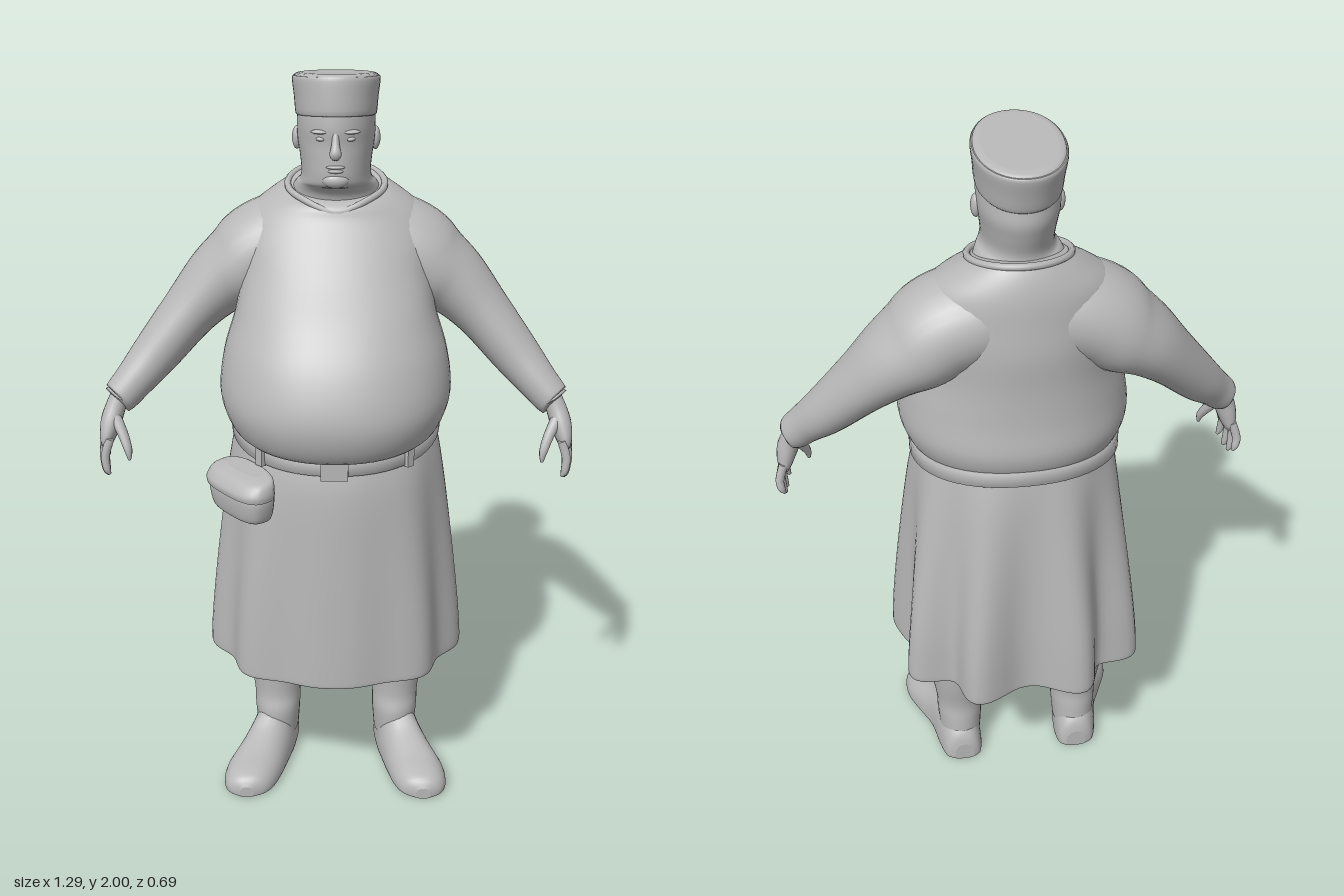
import * as THREE from 'three';

const V = (x, y, z) => new THREE.Vector3(x, y, z);
const cloth = new THREE.MeshStandardMaterial({ color: 0xb8b8b8, side: THREE.DoubleSide });
cloth.name = 'plain grey';

// Smoothly resample rows of section parameters
function smoothRows(rows, steps) {
  const out = [], at = i => rows[Math.max(0, Math.min(rows.length - 1, i))];
  for (let i = 0; i < rows.length - 1; i++) {
    for (let k = 0; k < steps; k++) {
      const t = k / steps;
      out.push(rows[i].map((b, c) => {
        const a = at(i - 1)[c], d = at(i + 1)[c], e = at(i + 2)[c];
        return b + 0.5 * t * (d - a + t * (2 * a - 5 * b + 4 * d - e + t * (3 * (b - d) + e - a)));
      }));
    }
  }
  out.push(rows[rows.length - 1]);
  return out;
}

// Skin a list of closed rings, with optional flat caps
function skin(rings, caps = true) {
  const n = rings[0].length, pts = rings.flat(), idx = [];
  for (let k = 0; k < rings.length - 1; k++) {
    for (let i = 0; i < n; i++) {
      const j = (i + 1) % n, a = k * n + i, b = k * n + j;
      idx.push(a, b, b + n, a, b + n, a + n);
    }
  }
  if (caps) {
    [rings[0], rings[rings.length - 1]].forEach((ring, end) => {
      const base = pts.length, mid = V(0, 0, 0);
      ring.forEach(p => mid.addScaledVector(p, 1 / n));
      pts.push(...ring.map(p => p.clone()), mid);
      for (let i = 0; i < n; i++) {
        const a = base + i, b = base + (i + 1) % n;
        if (end) idx.push(a, b, base + n); else idx.push(b, a, base + n);
      }
    });
  }
  const g = new THREE.BufferGeometry().setFromPoints(pts);
  g.setIndex(idx);
  g.computeVertexNormals();
  return g;
}

const pow = (c, n) => Math.sign(c) * Math.abs(c) ** (2 / n);

// Upright body: rows are [y, halfWidth, zFront, zBack, backwardRise, squareness, foldDepth]
// Folds are deepest at the back
function upright(rows, { steps = 5, sides = 56, caps = true, cx = 0 } = {}) {
  return skin(smoothRows(rows, steps).map(([y, w, zf, zb, s = 0, n = 2, fold = 0]) => {
    const zc = (zf + zb) / 2, d = (zf - zb) / 2;
    return Array.from({ length: sides }, (_, i) => {
      const a = i / sides * Math.PI * 2, sin = Math.sin(a);
      const f = 1 - fold * (0.6 + 0.4 * sin) * Math.cos(9 * (a - Math.PI / 2));
      const z = -d * pow(sin, n) * f;
      return V(cx + w * pow(Math.cos(a), n) * f, y - s * z, zc + z);
    });
  }), caps);
}

// Limb along a path: rows are [x, y, z, radiusAlongZ, radiusAcross]
function limb(rows, side = 1, steps = 4, sides = 20) {
  const r = smoothRows(rows, steps), P = r.map(q => V(q[0] * side, q[1], q[2]));
  return skin(r.map((q, k) => {
    const d = P[Math.min(k + 1, P.length - 1)].clone().sub(P[Math.max(k - 1, 0)]).normalize();
    const u = V(0, 0, 1).addScaledVector(d, -d.z).normalize(), v = d.clone().cross(u);
    return Array.from({ length: sides }, (_, i) => {
      const a = i / sides * Math.PI * 2;
      return P[k].clone().addScaledVector(u, q[3] * Math.cos(a)).addScaledVector(v, q[4] * Math.sin(a));
    });
  }));
}

// Shoe: rows are [z, x, halfWidth, height], flat underneath
function shoe(rows, side) {
  return skin(smoothRows(rows, 4).map(([z, x, w, h]) => Array.from({ length: 28 }, (_, i) => {
    const a = i / 28 * Math.PI * 2, s = Math.sin(a);
    return V(side * x + w * pow(Math.cos(a), 2.4), s < 0 ? 0.015 + 0.015 * pow(s, 5) : 0.015 + (h - 0.015) * s, z);
  })));
}

export function createModel() {
  const model = new THREE.Group();
  const add = (name, geo, pos = [0, 0, 0], parent = model) => {
    const m = new THREE.Mesh(geo, cloth);
    m.name = name;
    m.position.set(...pos);
    parent.add(m);
    return m;
  };
  const blob = (name, pos, scale) => add(name, new THREE.SphereGeometry(1, 20, 14), pos).scale.set(...scale);

  // Round-bellied tunic, tucked in at the slanted waist
  add('tunic', upright([
    [1.11, 0.25, 0.25, -0.24, 0.16, 2.2], [1.125, 0.28, 0.312, -0.262, 0.14, 2.2],
    [1.2, 0.304, 0.344, -0.275, 0.06, 2.2], [1.3, 0.292, 0.31, -0.266, 0, 2.2],
    [1.4, 0.262, 0.245, -0.262, 0, 2.2], [1.5, 0.25, 0.155, -0.265, 0, 2.1],
    [1.58, 0.25, 0.09, -0.258, 0, 2], [1.64, 0.225, 0.05, -0.25, 0.04, 2],
    [1.68, 0.175, 0.036, -0.236, 0.12, 2], [1.705, 0.125, 0.02, -0.215, 0.24, 2],
    [1.708, 0.1, 0, -0.2, 0.25, 2]]));

  // Neckline with a small dip at the front
  const neck = Array.from({ length: 40 }, (_, i) => {
    const a = i / 40 * Math.PI * 2, c = Math.cos(a);
    return V(0.126 * Math.sin(a), 1.705 - 0.027 * c - 0.022 * Math.max(0, c) ** 8, -0.093 + 0.124 * c);
  });
  add('collar', new THREE.TubeGeometry(new THREE.CatmullRomCurve3(neck, true), 80, 0.009, 8, true));

  // Pleated skirt, open at the bottom
  add('skirt', upright([
    [0.435, 0.322, 0.276, -0.312, 0.03, 2.4, 0.1], [0.418, 0.334, 0.288, -0.324, 0.03, 2.4, 0.11],
    [0.46, 0.336, 0.289, -0.325, 0.03, 2.4, 0.11], [0.6, 0.326, 0.286, -0.319, 0.03, 2.4, 0.095],
    [0.8, 0.307, 0.281, -0.301, 0.05, 2.3, 0.065], [1.0, 0.284, 0.273, -0.276, 0.12, 2.2, 0.025],
    [1.11, 0.262, 0.252, -0.254, 0.17, 2.2, 0]], { caps: false, sides: 120 }));

  // Belt with buckle and loops
  add('belt', upright([
    [1.078, 0.262, 0.255, -0.255, 0.18, 2.2], [1.08, 0.28, 0.272, -0.272, 0.18, 2.2],
    [1.12, 0.28, 0.272, -0.272, 0.18, 2.2], [1.122, 0.262, 0.255, -0.255, 0.18, 2.2]],
  { steps: 1, caps: false }));
  add('buckle', new THREE.BoxGeometry(0.07, 0.058, 0.02), [0, 1.053, 0.276]);
  for (const s of [-1, 1]) {
    add('beltLoop', new THREE.BoxGeometry(0.022, 0.056, 0.02), [s * 0.19, 1.065, 0.212]).rotation.y = s * 0.75;
  }

  // Pouch hanging from the belt
  const pouch = new THREE.Group();
  pouch.name = 'pouch';
  pouch.position.set(-0.242, 0, 0.222);
  pouch.rotation.y = -0.88;
  model.add(pouch);
  add('pouchBody', upright([
    [0.906, 0.08, 0.03, -0.03, 0, 2.8], [0.916, 0.1, 0.045, -0.045, 0, 2.8],
    [0.965, 0.112, 0.052, -0.05, 0, 2.8], [1.0, 0.108, 0.045, -0.05, 0, 2.8]], { sides: 32 }), [0, 0, 0], pouch);
  add('pouchLid', upright([
    [0.975, 0.115, 0.058, -0.05, 0, 2.8], [0.995, 0.116, 0.058, -0.05, 0.05, 2.8],
    [1.02, 0.104, 0.04, -0.05, 0.1, 2.8], [1.03, 0.07, 0.01, -0.045, 0.1, 2.8]], { sides: 32 }), [0, 0, 0], pouch);

  // Neck and head in one form
  add('head', upright([
    [1.64, 0.125, 0.0, -0.2], [1.69, 0.116, 0.008, -0.2], [1.715, 0.104, 0.03, -0.192],
    [1.728, 0.093, 0.056, -0.188], [1.75, 0.089, 0.064, -0.19], [1.79, 0.093, 0.064, -0.204],
    [1.83, 0.099, 0.062, -0.215], [1.87, 0.1, 0.065, -0.212], [1.92, 0.098, 0.06, -0.205]]));
  add('nose', limb([[0, 1.862, 0.056, 0.008, 0.009], [0, 1.835, 0.064, 0.012, 0.01],
    [0, 1.812, 0.074, 0.013, 0.015], [0, 1.802, 0.068, 0.007, 0.01]]));
  blob('upperLip', [0, 1.778, 0.061], [0.024, 0.005, 0.007]);
  blob('lowerLip', [0, 1.768, 0.06], [0.02, 0.006, 0.008]);
  blob('chin', [0, 1.743, 0.05], [0.034, 0.02, 0.019]);
  for (const s of [-1, 1]) {
    blob('eye', [s * 0.036, 1.846, 0.048], [0.013, 0.006, 0.011]);
    blob('brow', [s * 0.036, 1.864, 0.05], [0.026, 0.006, 0.013]);
    blob('ear', [s * 0.1, 1.826, -0.075], [0.013, 0.03, 0.018]);
  }

  // Round cap, tilted down towards the back
  add('capBand', upright([
    [1.888, 0.095, 0.058, -0.21, -0.13, 2.1], [1.888, 0.103, 0.068, -0.218, -0.13, 2.1],
    [1.93, 0.107, 0.066, -0.23, -0.12, 2.1], [1.97, 0.112, 0.062, -0.242, -0.11, 2.1],
    [1.98, 0.109, 0.058, -0.24, -0.11, 2.1]], { steps: 3 }));
  add('capTop', upright([
    [1.97, 0.108, 0.057, -0.238, -0.11, 2.1], [1.983, 0.105, 0.054, -0.235, -0.11, 2.1],
    [1.987, 0.09, 0.035, -0.215, -0.11, 2.1]], { steps: 3 }));

  for (const s of [-1, 1]) {
    // Sleeve running from the yoke over the shoulder to the cuff
    add('sleeve', limb([
      [0.0, 1.575, -0.11, 0.12, 0.11], [0.1, 1.56, -0.11, 0.138, 0.125], [0.19, 1.53, -0.108, 0.143, 0.125],
      [0.25, 1.485, -0.105, 0.14, 0.116], [0.315, 1.44, -0.098, 0.122, 0.096], [0.39, 1.365, -0.074, 0.098, 0.076],
      [0.48, 1.26, -0.03, 0.073, 0.064], [0.54, 1.193, 0.008, 0.056, 0.053], [0.578, 1.152, 0.028, 0.048, 0.047],
      [0.574, 1.158, 0.026, 0.038, 0.036]], s, 5, 32));

    // Hand with four fingers and a thumb
    add('palm', limb([
      [0.565, 1.18, 0.02, 0.028, 0.026], [0.588, 1.13, 0.035, 0.03, 0.027], [0.602, 1.09, 0.045, 0.04, 0.028],
      [0.612, 1.05, 0.052, 0.046, 0.022], [0.614, 1.028, 0.053, 0.038, 0.014]], s));
    for (let f = 0; f < 4; f++) {
      const z = 0.09 - f * 0.025, tip = 0.1 - f * 0.033, low = [0.957, 0.942, 0.947, 0.97][f];
      const curl = [0.012, 0.004, 0, -0.004][f];
      add('finger', limb([
        [0.613 - curl, 1.055, z, 0.012, 0.012], [0.627 - curl, 1.01, (z + tip) / 2, 0.012, 0.012],
        [0.624 - curl, low + 0.015, tip, 0.01, 0.01], [0.617 - curl, low, tip, 0.004, 0.004]], s, 3, 10));
    }
    add('thumb', limb([
      [0.592, 1.11, 0.055, 0.017, 0.017], [0.568, 1.07, 0.082, 0.015, 0.014],
      [0.552, 1.03, 0.103, 0.012, 0.011], [0.549, 1.002, 0.108, 0.004, 0.004]], s, 3, 10));

    // Leg and shoe, toes turned out
    add('leg', upright([
      [0.06, 0.06, 0.015, -0.14], [0.14, 0.066, 0.022, -0.135], [0.2, 0.068, 0.01, -0.13],
      [0.3, 0.082, 0.015, -0.145], [0.42, 0.096, 0.025, -0.152], [0.56, 0.1, 0.04, -0.14],
      [0.85, 0.11, 0.07, -0.14]], { sides: 28, cx: s * 0.174 }));
    add('shoe', shoe([
      [-0.154, 0.172, 0.03, 0.06], [-0.14, 0.174, 0.052, 0.1], [-0.09, 0.178, 0.064, 0.14],
      [-0.01, 0.19, 0.067, 0.145], [0.05, 0.21, 0.074, 0.11], [0.12, 0.234, 0.081, 0.083],
      [0.18, 0.246, 0.073, 0.068], [0.215, 0.25, 0.053, 0.055], [0.23, 0.252, 0.02, 0.034]], s));
  }
  return model;
}
